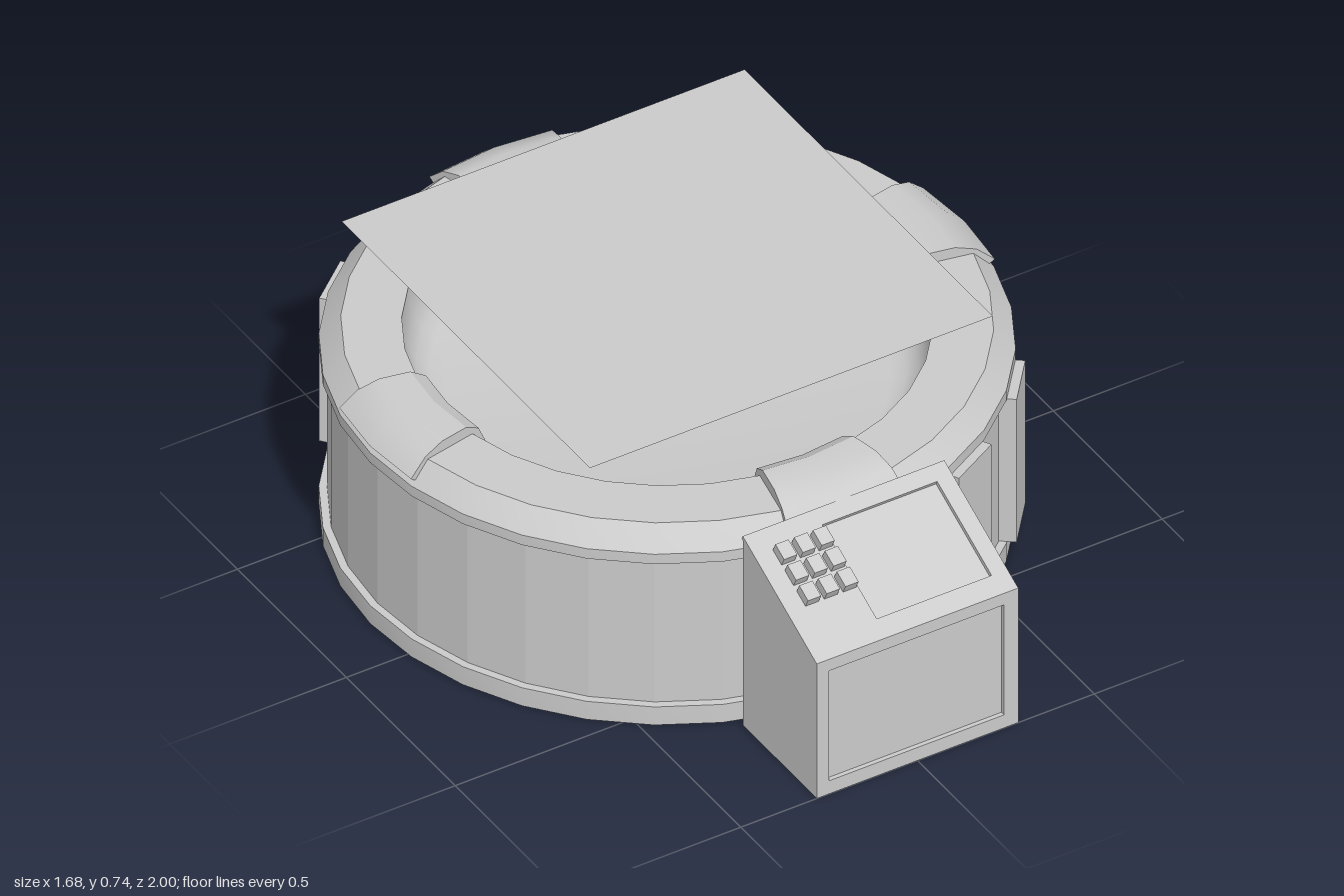
import * as THREE from 'three';
import { toCreasedNormals } from 'three/addons/utils/BufferGeometryUtils.js';

const SIDES = 32;
const STEP = (Math.PI * 2) / SIDES;
const smooth = new THREE.MeshStandardMaterial({ color: 0xcccccc, side: THREE.DoubleSide });
const flat = new THREE.MeshStandardMaterial({ color: 0xcccccc, flatShading: true, side: THREE.DoubleSide });

function add(parent, name, geometry, material = flat, x = 0, y = 0, z = 0) {
  const mesh = new THREE.Mesh(geometry, material);
  mesh.name = name;
  mesh.position.set(x, y, z);
  parent.add(mesh);
  return mesh;
}

function group(parent, name) {
  const g = new THREE.Group();
  g.name = name;
  parent.add(g);
  return g;
}

const points = (list) => list.map(([x, y]) => new THREE.Vector2(x, y));

// Revolved profile, round around the axis but sharp at bevels
function turned(list, start = 0, sides = SIDES) {
  const geometry = new THREE.LatheGeometry(points(list), sides, start, sides * STEP);
  return toCreasedNormals(geometry, 0.5);
}

// Rectangular plate with a rectangular opening
function frame(x0, y0, x1, y1, hx0, hy0, hx1, hy1, depth) {
  const shape = new THREE.Shape(points([[x0, y0], [x1, y0], [x1, y1], [x0, y1]]));
  shape.holes.push(new THREE.Path(points([[hx0, hy0], [hx0, hy1], [hx1, hy1], [hx1, hy0]])));
  return new THREE.ExtrudeGeometry(shape, { depth, bevelEnabled: false });
}

function buildBasin(parent) {
  const basin = group(parent, 'basin');
  basin.position.z = -0.15;

  add(basin, 'base', turned([[0, 0], [0.84, 0], [0.84, 0.055], [0.8, 0.055]]), smooth);
  add(basin, 'wall', new THREE.CylinderGeometry(0.82, 0.82, 0.44, SIDES, 1, true), flat, 0, 0.272, 0);
  add(basin, 'rim', turned([
    [0.8, 0.49], [0.84, 0.49], [0.84, 0.52], [0.787, 0.575], [0.64, 0.575],
  ]), smooth);

  // Concave inner wall running into the floor
  add(basin, 'bowl', turned([
    [0.64, 0.575], [0.637, 0.53], [0.625, 0.485], [0.605, 0.45], [0.575, 0.428], [0.54, 0.42], [0, 0.42],
  ]), smooth);

  // Raised wall panels
  [-107, -129.3, -50.7, 39.3, 62].forEach((degrees) => {
    const a = THREE.MathUtils.degToRad(degrees);
    const panel = add(basin, 'wallPanel', new THREE.BoxGeometry(0.155, 0.435, 0.05), flat,
      Math.cos(a) * 0.835, 0.2725, Math.sin(a) * 0.835);
    panel.rotation.y = Math.PI / 2 - a;
  });

  // Four clamps hooked over the rim
  const profile = [
    [0.82, 0.525], [0.842, 0.543], [0.795, 0.586], [0.74, 0.605], [0.66, 0.605],
    [0.62, 0.582], [0.592, 0.52], [0.602, 0.505], [0.645, 0.56], [0.78, 0.565], [0.82, 0.525],
  ];
  const cap = new THREE.ShapeGeometry(new THREE.Shape(points(profile)));
  for (let i = 0; i < 4; i++) {
    const clamp = group(basin, 'rimClamp');
    clamp.rotation.y = (i * Math.PI) / 2;
    add(clamp, 'clampBody', turned(profile, -STEP, 2), smooth);
    for (const side of [-1, 1]) {
      add(clamp, 'clampEnd', cap).rotation.y = side * STEP - Math.PI / 2;
    }
  }
}

function buildConsole(parent) {
  const unit = group(parent, 'console');
  const half = 0.285;
  const inset = 0.012;

  // Wedge-shaped core, set back behind the two framed faces
  const side = new THREE.Shape(points([[0.66, 0], [0.988, 0], [0.988, 0.4025], [0.66, 0.5617]]));
  const core = new THREE.ExtrudeGeometry(side, { depth: half * 2, bevelEnabled: false });
  core.rotateY(-Math.PI / 2).translate(half, 0, 0);
  add(unit, 'consoleBody', core);
  add(unit, 'frontFrame', frame(-half, 0, half, 0.41, -0.25, 0.04, 0.245, 0.375, inset), flat, 0, 0, 1 - inset);

  // Sloping face with screen opening and keypad
  const slope = group(unit, 'controlFace');
  slope.position.set(0, 0.41, 1);
  slope.rotation.x = -Math.atan2(0.34, 0.165);
  add(slope, 'screenFrame', frame(-half, 0, half, 0.378, -0.085, 0.055, 0.24, 0.333, inset), flat, 0, 0, -inset);
  const key = new THREE.BoxGeometry(0.037, 0.045, 0.03);
  for (let row = 0; row < 3; row++) {
    for (let column = 0; column < 3; column++) {
      add(slope, 'key', key, flat, -0.215 + column * 0.053, 0.173 + row * 0.061, 0.012);
    }
  }
}

export function createModel() {
  const model = new THREE.Group();
  model.name = 'basinWithConsole';
  buildBasin(model);
  buildConsole(model);

  // Thin square sheet hovering over the basin
  const sheet = add(model, 'topSheet', new THREE.PlaneGeometry(1.14, 1.14), flat, 0, 0.74, -0.15);
  sheet.rotation.x = -Math.PI / 2;
  return model;
}
